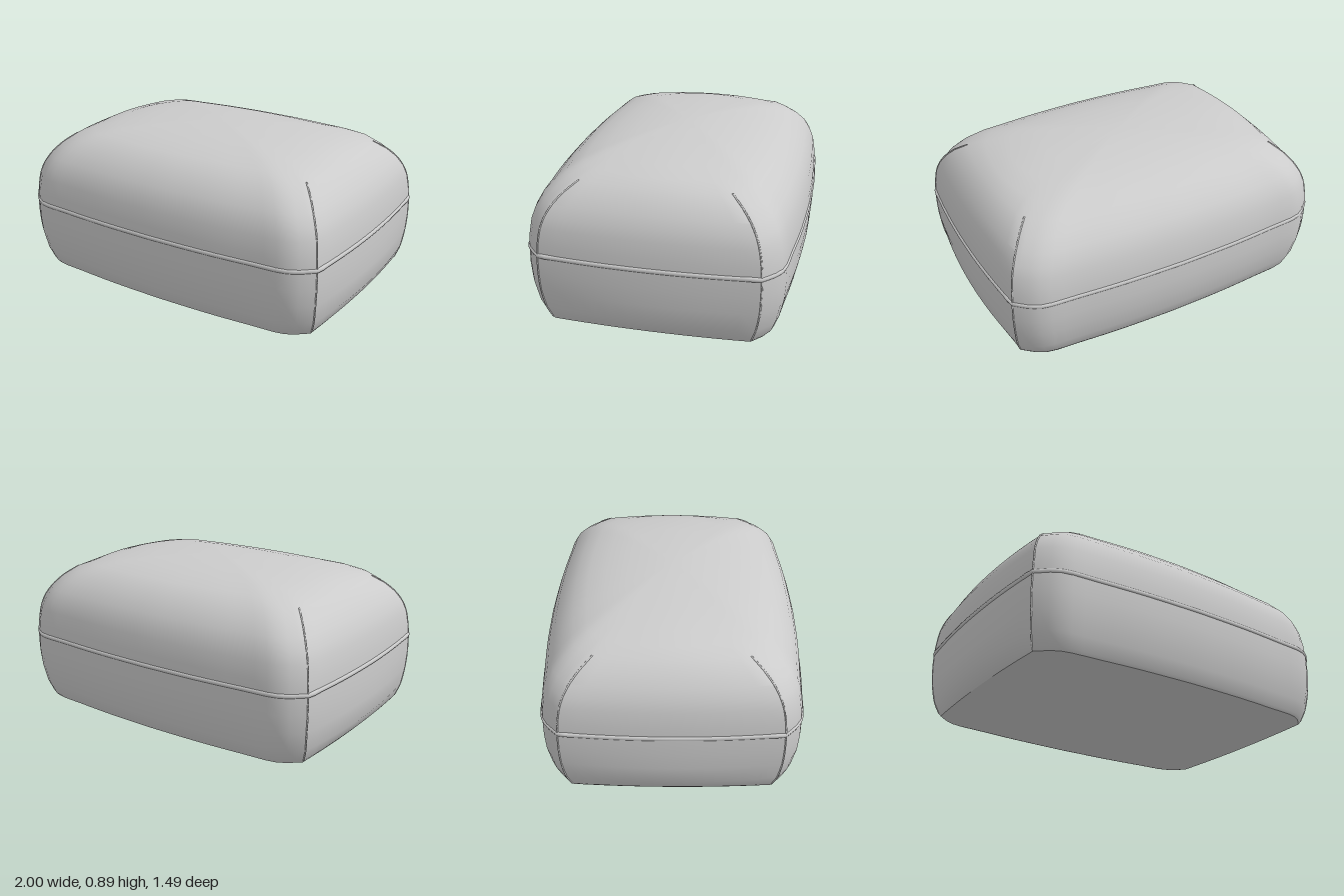
import * as THREE from 'three';
import { toCreasedNormals } from 'three/addons/utils/BufferGeometryUtils.js';

// Cushion levels: y, half width, half depth, corner seam x, corner seam z
const LEVELS = [
  [0, 0, 0, 0, 0],
  [0, 0.905, 0.65, 0.885, 0.525],
  [0.004, 0.922, 0.667, 0.902, 0.54],
  [0.02, 0.937, 0.68, 0.912, 0.548],
  [0.09, 0.978, 0.705, 0.935, 0.572],
  [0.2, 0.99, 0.73, 0.95, 0.592],
  [0.3, 0.993, 0.738, 0.956, 0.598],
  [0.4, 0.99, 0.738, 0.955, 0.598],
  [0.47, 0.985, 0.734, 0.95, 0.594],
  [0.56, 0.972, 0.72, 0.938, 0.58],
  [0.62, 0.953, 0.7, 0.918, 0.56],
  [0.68, 0.922, 0.67, 0.885, 0.525],
  [0.735, 0.878, 0.62, 0.84, 0.475],
  [0.785, 0.825, 0.565, 0.78, 0.41],
  [0.82, 0.755, 0.49, 0.69, 0.345],
  [0.85, 0.65, 0.39, 0.565, 0.27],
  [0.872, 0.46, 0.27, 0.39, 0.18],
  [0.887, 0.22, 0.13, 0.18, 0.085],
  [0.892, 0, 0, 0, 0],
];

// Closed outline of one level, running from +x towards +z
function outline([y, ax, az, cx, cz]) {
  const quarter = [];
  for (let i = 0; i < 6; i++) {
    const t = i / 6;
    quarter.push([ax - (ax - cx) * t * t, cz * t]);
  }
  const dx = cx * 0.875, dz = cz + 0.64 * (az - cz);
  const bow = (k) => new THREE.Vector2(dx * k, az - (az - dz) * k * k);
  const front = new THREE.SplineCurve([new THREE.Vector2(cx, cz), bow(1), bow(0.75), bow(0.4), bow(0)]);
  for (let i = 0; i <= 12; i++) quarter.push(front.getPoint(i / 12).toArray());
  const half = [...quarter, ...quarter.slice(0, -1).reverse().map(([x, z]) => [-x, z])];
  const full = [...half, ...half.slice(1, -1).reverse().map(([x, z]) => [x, -z])];
  return full.map(([x, z]) => new THREE.Vector3(x, y, z));
}

// Skin between successive outlines
function loft(rings) {
  const pos = [];
  const tri = (...p) => p.forEach((v) => pos.push(v.x, v.y, v.z));
  for (let r = 0; r < rings.length - 1; r++) {
    const lo = rings[r], hi = rings[r + 1], n = lo.length;
    for (let i = 0; i < n; i++) {
      const j = (i + 1) % n;
      if (r < rings.length - 2) tri(lo[i], hi[i], hi[j]);
      else tri(lo[i], hi[i], lo[j]);
      if (r > 0 && r < rings.length - 2) tri(lo[i], hi[j], lo[j]);
    }
  }
  const g = new THREE.BufferGeometry();
  g.setAttribute('position', new THREE.Float32BufferAttribute(pos, 3));
  return toCreasedNormals(g, 0.5);
}

export function createModel() {
  const group = new THREE.Group();
  const mat = new THREE.MeshStandardMaterial({ color: 0xcccccc });
  const add = (name, geometry) => {
    const mesh = new THREE.Mesh(geometry, mat);
    mesh.name = name;
    group.add(mesh);
  };

  // Padded body
  add('cushionBody', loft(LEVELS.map(outline)));

  // Piping around the middle
  const belt = outline([0.407, 0.985, 0.731, 0.95, 0.592]);
  add('middlePiping', new THREE.TubeGeometry(
    new THREE.CatmullRomCurve3(belt, true), 160, 0.014, 8, true));

  // Fine seams up the four corners, ending on the domed top
  for (const sx of [1, -1]) for (const sz of [1, -1]) {
    const path = LEVELS.slice(3, 14).map(([y, , , x, z]) =>
      new THREE.Vector3(sx * (x - 0.002), y, sz * (z - 0.002)));
    add('cornerSeam', new THREE.TubeGeometry(new THREE.CatmullRomCurve3(path), 40, 0.005, 6));
  }
  return group;
}
